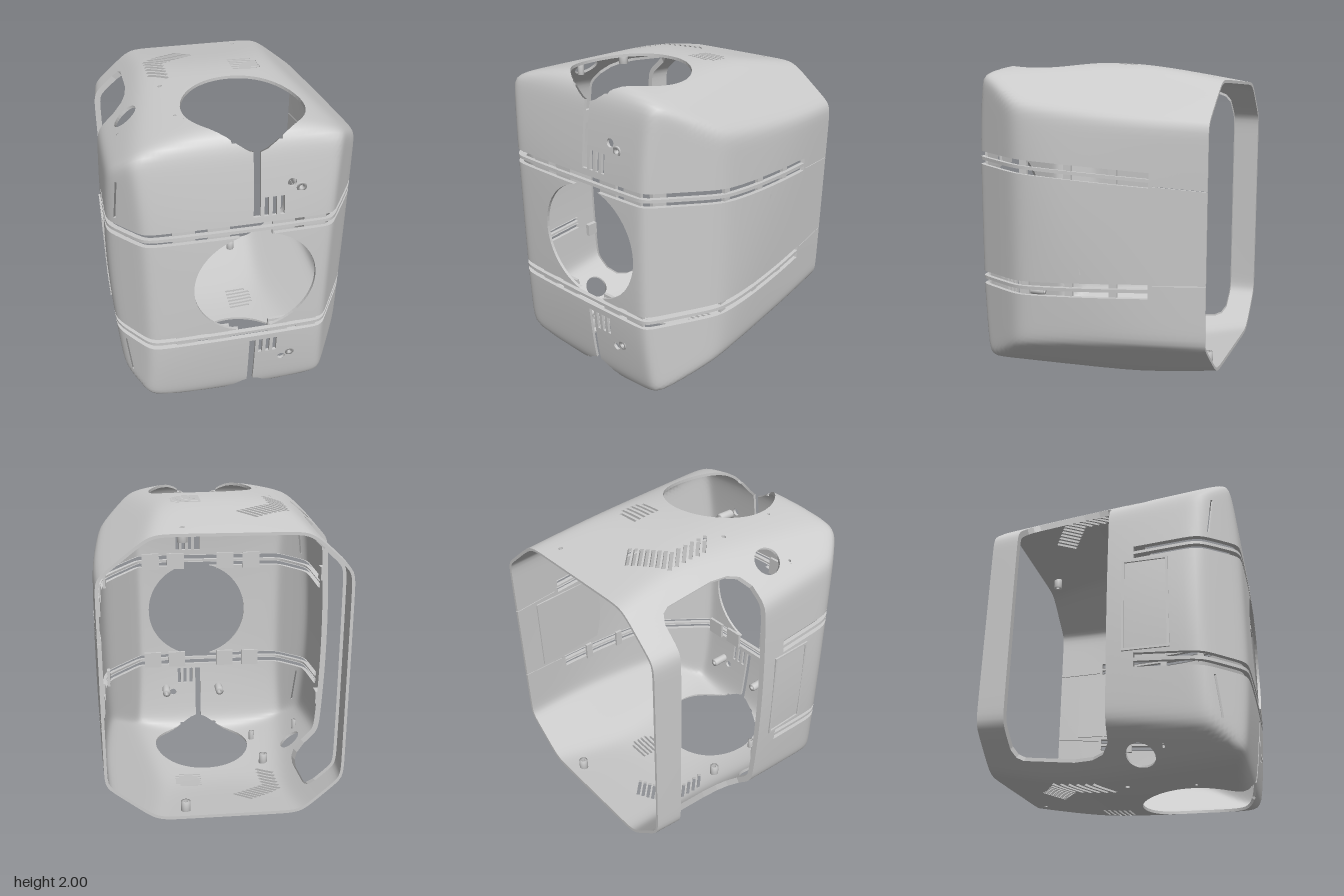
import * as THREE from 'three';

const T = 0.018; // wall thickness

// ---- Body form: soft intersection of planes (y measured from mid height) ----
const faces = [];
function face(nx, ny, nz, px, py, pz) {
  const d = nx * px + ny * py + nz * pz;
  faces.push([nx / d, ny / d, nz / d]);
  if (ny) faces.push([nx / d, -ny / d, nz / d]);
}
face(0, 0, 1, 0, 0, 0.805); // front
face(0, 0.055, 0.43, 0, 0.4, 0.8);
face(0, 0.6, 0.7, 0, 0.96, 0.705);
face(0, 1, 0, 0, 1.004, 0); // top and bottom
face(0, 0.4, -0.08, 0, 0.95, -0.45);
for (const s of [1, -1]) {
  face(s * 0.06, 0, 1, s * 0.35, 0, 0.795);
  face(s, 0, 0, s * 0.807, 0, 0);
  face(s * 0.8, 0, -0.08, s * 0.81, 0, 0);
  face(s * 0.43, 0.035, 0, s * 0.802, 0.25, 0);
  face(s * 0.12, 0.5, 0, s * 0.38, 0.975, 0);
}
face(0.32, 0, 0.21, 0.65, 0, 0.55); // front corner planes
face(0.3, 0, 0.05, 0.785, 0, 0.25);
face(-0.18, 0, 0.15, -0.7, 0, 0.645);
face(0.23, 0.29, -0.03, 0.6, 0.82, 0); // upper and lower chamfers
face(-0.25, 0.28, -0.03, -0.6, 0.85, 0);
face(0, 0, -1, 0, 0, -1.15); // hidden end, trimmed off below

const K = 50;
const field = (x, y, z) => {
  let f = 0;
  for (const [a, b, c] of faces) f += Math.max(0, a * x + b * y + c * z) ** K;
  return f ** (1 / K);
};
function surfaceVertex(x, y, z) {
  const f = field(x, y, z);
  const p = [x / f, y / f, z / f];
  const n = new THREE.Vector3();
  for (const [a, b, c] of faces) {
    const w = Math.max(0, a * p[0] + b * p[1] + c * p[2]) ** (K - 1);
    n.add(new THREE.Vector3(a, b, c).multiplyScalar(w));
  }
  n.normalize();
  return [...p, n.x, n.y, n.z];
}
// Distance along one axis at which the body surface is met
function reach(at) {
  let lo = 0, hi = 1.3;
  for (let i = 0; i < 30; i++) {
    const m = (lo + hi) / 2;
    if (field(...at(m)) < 1) lo = m; else hi = m;
  }
  return lo;
}

// ---- Cutting: every opening is a convex set of planes ----
const value = (q, p) => q[0] * p[0] + q[1] * p[1] + q[2] * p[2] - q[3];
function split(poly, q) {
  const out = [], inn = [];
  poly.forEach((a, i) => {
    const b = poly[(i + 1) % poly.length], va = value(q, a), vb = value(q, b);
    if (va >= 0) out.push(a);
    if (va <= 0) inn.push(a);
    if (va * vb < 0) {
      const m = a.map((v, k) => v + (b[k] - v) * va / (va - vb));
      out.push(m);
      inn.push(m);
    }
  });
  return [out, inn];
}
function subtract(polys, hole, walls) {
  const kept = [];
  for (const poly of polys) {
    if (hole.planes.some(q => poly.every(p => value(q, p) >= 0))) { kept.push(poly); continue; }
    let rest = poly;
    for (const q of hole.planes) {
      const [out, inn] = split(rest, q);
      if (out.length > 2) kept.push(out);
      rest = inn;
      if (rest.length < 3) break;
    }
    if (!walls || rest.length < 3) continue;
    rest.forEach((a, i) => { // close the cut edge between outer and inner skin
      const b = rest[(i + 1) % rest.length];
      const q = hole.planes.find(q => Math.abs(value(q, a)) < 1e-7 && Math.abs(value(q, b)) < 1e-7);
      if (!q) return;
      const l = -Math.hypot(q[0], q[1], q[2]), n = [q[0] / l, q[1] / l, q[2] / l], t = T + hole.lip;
      const at = (p, d) => [p[0] - p[3] * d, p[1] - p[4] * d, p[2] - p[5] * d, ...n];
      walls.push([at(a, 0), at(b, 0), at(b, t), at(a, t)]);
    });
  }
  return kept;
}

const holes = [];
// Prism along y (points are x,z) or along z (points are x,y, front only)
function prism(axis, pts, lip = 0) {
  let area = 0;
  pts.forEach(([x, y], i) => { const [u, v] = pts[(i + 1) % pts.length]; area += x * v - u * y; });
  if (area < 0) pts = [...pts].reverse();
  const planes = axis === 'z' ? [[0, 0, -1, -0.4]] : [];
  pts.forEach(([x, y], i) => {
    const [u, v] = pts[(i + 1) % pts.length], l = Math.hypot(u - x, v - y);
    const a = (v - y) / l, b = (x - u) / l, d = a * x + b * y;
    planes.push(axis === 'z' ? [a, b, 0, d] : [a, 0, b, d]);
  });
  holes.push({ planes, lip });
}
const ellipse = (cx, cy, rx, ry = rx, n = 14) => Array.from({ length: n }, (_, i) => {
  const t = 2 * Math.PI * (i + 0.37) / n;
  return [cx + rx * Math.cos(t), cy + ry * Math.sin(t)];
});
const rect = (x0, x1, y0, y1) => [[x0, y0], [x1, y0], [x1, y1], [x0, y1]];

const topScrews = [[-0.37, 0.02, 0.03], [0.24, -0.7, 0.03], [-0.345, 0.42, 0.02], [-0.65, 0.29, 0.017]];
function defineHoles() {
  holes.length = 0;
  holes.push({ planes: [[0, 0, 1, -0.8]], lip: 0 }); // open back
  prism('y', [[-1.2, -0.64], [-0.61, -0.625], [-0.57, -0.6], [-0.555, -0.56], [-0.555, -0.25],
    [-0.57, -0.14], [-0.6, -0.07], [-0.66, -0.025], [-1.2, 0.03]], 0.02); // side opening
  prism('y', ellipse(0.05, 0.38, 0.355, 0.355, 64)); // round openings
  prism('z', ellipse(0.05, 0, 0.373, 0.37, 64));
  prism('y', ellipse(-0.6, 0.15, 0.065, 0.085, 28));
  for (const [x, z, r] of topScrews) prism('y', ellipse(x, z, r * 0.45));
  for (let i = 0; i < 6; i++) { // straight vents
    const z = -0.253 + i * 0.034, cut = i === 0 || i === 5 ? 0.03 : 0;
    prism('y', rect(0.1, 0.28 - cut, z - 0.008, z + 0.008));
  }
  for (let i = 0; i < 13; i++) { // slanted vents
    const j = Math.max(0, i - 5), x = -0.36 + 0.03 * j, z = -0.12 - 0.05 * Math.min(i, 5) - 0.019 * j;
    const L = 0.055, w = 0.008;
    prism('y', [[x - L - w, z - L + w], [x - L + w, z - L - w], [x + L + w, z + L - w], [x + L - w, z + L + w]]);
  }
  for (const s of [1, -1]) {
    prism('z', [[-0.13, s * 1.1], [-0.09, s * 0.93], [0.19, s * 0.93], [0.23, s * 1.1]]); // notch
    prism('z', rect(0.025, 0.065, s * 0.48, s * 1.1)); // centre slit
    for (const x of [0.1, 0.147, 0.193]) prism('z', rect(x - 0.012, x + 0.012, s * 0.48, s * 0.6));
    prism('z', ellipse(0.245, s * 0.675, 0.026));
    prism('z', ellipse(0.3, s * 0.64, 0.013));
    prism('z', [[-0.74, s * 0.47], [-0.731, s * 0.47], [-0.707, s * 0.72], [-0.716, s * 0.72]]);
    for (const [a, b] of [[0.306, 0.336], [0.356, 0.391]]) // paired slots wrapping round the front
      holes.push({ lip: 0.01, planes: [[0, s, -0.063, b], [0, -s, 0.063, -a], [-0.4, 0, -1, 0.165]] });
    holes.push({ lip: 0, planes: [[0, s, -0.063, 0.318], [0, -s, 0.063, -0.314], [0, 0, 1, -0.49], [-1, 0, 0, 0]] }); // seam
  }
}

function polygonMesh(polys, name, material, offset = 0, flip = false) {
  const pos = [], nor = [], s = flip ? -1 : 1;
  for (const p of polys) for (let i = 1; i < p.length - 1; i++)
    for (const v of flip ? [p[0], p[i + 1], p[i]] : [p[0], p[i], p[i + 1]]) {
      pos.push(v[0] - v[3] * offset, v[1] - v[4] * offset, v[2] - v[5] * offset);
      nor.push(v[3] * s, v[4] * s, v[5] * s);
    }
  const g = new THREE.BufferGeometry();
  g.setAttribute('position', new THREE.Float32BufferAttribute(pos, 3));
  g.setAttribute('normal', new THREE.Float32BufferAttribute(nor, 3));
  const m = new THREE.Mesh(g, material);
  m.name = name;
  return m;
}

export function createModel() {
  const group = new THREE.Group(), body = new THREE.Group();
  group.name = 'housing';
  body.position.y = 1;
  group.add(body);
  const grey = new THREE.MeshStandardMaterial({ color: 0xcccccc });
  const thin = new THREE.MeshStandardMaterial({ color: 0xcccccc, side: THREE.DoubleSide });
  const add = (geo, name, x, y, z, mat = grey) => {
    const m = new THREE.Mesh(geo, mat);
    m.name = name;
    m.position.set(x, y, z);
    body.add(m);
    return m;
  };

  // Shell skins and cut edges
  const box = new THREE.BoxGeometry(1.6, 2, 1.9, 46, 50, 50);
  const bp = box.attributes.position, id = box.index.array, verts = [];
  for (let i = 0; i < bp.count; i++) verts.push(surfaceVertex(bp.getX(i), bp.getY(i), bp.getZ(i)));
  let skin = [], walls = [];
  for (let i = 0; i < id.length; i += 3) skin.push([verts[id[i]], verts[id[i + 1]], verts[id[i + 2]]]);
  defineHoles();
  for (const hole of holes) {
    walls = subtract(walls, hole);
    skin = subtract(skin, hole, walls);
  }
  body.add(polygonMesh(skin, 'outerShell', grey));
  body.add(polygonMesh(skin, 'innerShell', grey, T, true));
  body.add(polygonMesh(walls, 'cutEdges', thin));

  // Hollow screw bosses inside the walls
  const boss = (r, h) => new THREE.LatheGeometry(
    [[r * 0.45, 0], [r, 0], [r, h], [r * 0.45, h], [r * 0.45, 0]].map(p => new THREE.Vector2(...p)), 20);
  for (const s of [1, -1]) {
    for (const [x, z, r] of topScrews) {
      const y = reach(t => [x, t, z]) - T - 0.065;
      add(boss(r, 0.07), 'screwBoss', x, s * y, z, thin).rotation.x = s > 0 ? 0 : Math.PI;
    }
    const fz = reach(t => [0.3, s * 0.64, t]);
    add(boss(0.03, 0.13), 'frontBoss', 0.3, s * 0.64, fz - 0.128, thin).rotation.x = Math.PI / 2;
    add(boss(0.03, 0.11), 'frontBoss', -0.12, s * 0.64, fz - 0.125, thin).rotation.x = Math.PI / 2;

    // Tabs bridging the slots from inside
    for (const x of [-0.37, -0.17, 0.21, 0.4]) {
      const y = s * 0.395, z = reach(t => [x, y, t]) - T - 0.016;
      add(new THREE.BoxGeometry(0.13, 0.12, 0.02), 'slotTab', x, y, z);
    }
    for (const z of [0.33, 0.03, -0.25]) {
      const y = s * (0.349 + 0.063 * z), x = reach(t => [t, y, z]) - T - 0.014;
      add(new THREE.BoxGeometry(0.02, 0.12, 0.05), 'slotTab', x, y, z);
    }
    // Clips along the side opening
    const cx = reach(t => [-t, s * 0.45, 0.04]);
    add(new THREE.BoxGeometry(0.035, 0.09, 0.08), 'openingClip', -cx + 0.03, s * 0.45, 0.03);
  }

  // Panel on the inside of the closed side
  const px = reach(t => [t, 0, -0.35]);
  add(new THREE.BoxGeometry(0.012, 0.5, 0.6), 'innerPanel', px - T - 0.003, 0, -0.35).rotation.y = 0.1;

  // Raised frame on the outside of the open side
  const frame = new THREE.Shape(rect(-0.14, 0.14, -0.3, 0.3).map(p => new THREE.Vector2(...p)));
  frame.holes.push(new THREE.Path(rect(-0.125, 0.125, -0.285, 0.285).map(p => new THREE.Vector2(...p))));
  const fx = reach(t => [-t, 0, 0.22]);
  add(new THREE.ExtrudeGeometry(frame, { depth: 0.02, bevelEnabled: false }), 'sideFrame', 0.017 - fx, 0, 0.22)
    .rotation.y = -Math.PI / 2;
  return group;
}
